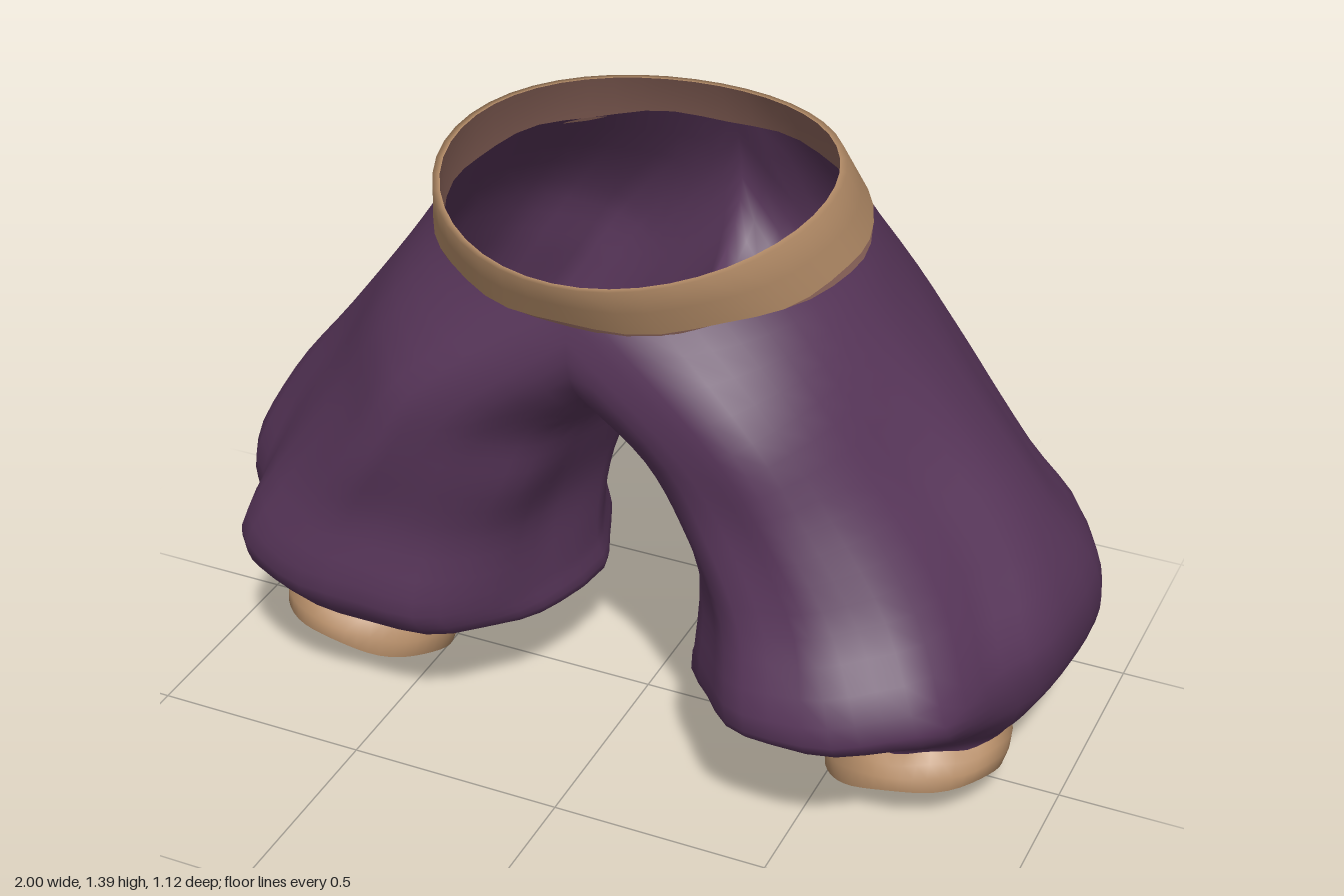
import * as THREE from 'three';
import { mergeGeometries, mergeVertices } from 'three/addons/utils/BufferGeometryUtils.js';

const COLS = 44;

// Closed tube surface: point(row, angle) listed from top to bottom
function loft(point, rows, flip = false) {
  const pos = [], idx = [];
  for (let i = 0; i < rows; i++)
    for (let j = 0; j < COLS; j++) pos.push(...point(i, (j / COLS) * Math.PI * 2));
  for (let i = 0; i < rows - 1; i++)
    for (let j = 0; j < COLS; j++) {
      const a = i * COLS + j, b = i * COLS + (j + 1) % COLS, c = a + COLS, d = b + COLS;
      if (flip) idx.push(a, c, b, b, c, d);
      else idx.push(a, b, c, b, d, c);
    }
  const g = new THREE.BufferGeometry();
  g.setAttribute('position', new THREE.Float32BufferAttribute(pos, 3));
  g.setIndex(idx);
  g.computeVertexNormals();
  return g;
}

// Leg rings: inner x, inner y, outer x, outer y, front z, back z, front lift, fold depth,
// then how far the left leg differs from the mean: inner x, front z, back z
const RINGS = [
  [0.055, 0.81, 0.57, 1.08, 0.465, -0.530, 0, 0.012, 0.02, -0.010, 0.025],
  [0.115, 0.69, 0.725, 0.87, 0.465, -0.540, 0, 0.02, 0.03, -0.010, 0],
  [0.165, 0.54, 0.89, 0.66, 0.475, -0.535, 0, 0.02, 0.03, 0.010, -0.015],
  [0.175, 0.37, 0.99, 0.47, 0.520, -0.535, -0.02, 0.015, 0.03, 0.035, -0.02],
  [0.160, 0.27, 0.99, 0.32, 0.440, -0.530, 0.02, 0.015, 0.02, 0.010, -0.015],
  [0.270, 0.185, 0.93, 0.23, 0.330, -0.380, 0.05, 0.01, 0, 0, 0],
  [0.495, 0.12, 0.875, 0.17, 0.220, -0.155, 0.03, 0, 0, 0, 0],
  [0.505, 0.068, 0.865, 0.130, 0.243, -0.117, 0.042, 0, 0, 0, 0],
];
// Corner cut of each ring (below 1 is boxy, above 1 is cut away):
// outer front, outer back, inner front, inner back; then depth of the outer front fold
const CORNERS = [
  [1.1, 1.1, 0.9, 0.8, 0],
  [1.2, 1.2, 0.85, 0.95, 0.03],
  [1.2, 1.15, 0.85, 1.1, 0.07],
  [0.95, 0.8, 0.85, 1.2, 0.13],
  [1, 0.75, 0.85, 1.2, 0.07],
  [1, 1, 1, 1.1, 0],
  [1, 1, 1, 1, 0],
  [1, 1, 1, 1, 0],
];
const soft = (v, e) => Math.sign(v) * Math.abs(v) ** e;

// Height of the lower edge of the waistband
const waistLow = (s) => 1.25 - 0.04 * s - 0.015 * s * s;

// Top loop of a leg: half of the waist, closed by the crotch seam
function topPoint(t, side) {
  const c = Math.cos(t), s = Math.sin(t), y = waistLow(s) + 0.005;
  if (c > 1e-6) return new THREE.Vector3(0.01 + side * 0.46 * c, y, 0.425 * s);
  const k = Math.abs(c), full = s < 0 ? 0.6 : 0.25;
  return new THREE.Vector3(0.015, y - (y - 0.87) * k, 0.425 * s * (1 + full * k));
}

function ringPoint(r, i, t, side) {
  const [xi, yi, xo, yo, front, back, lift, fold, dx, dFront, dBack] = r;
  const c = Math.cos(t), s = Math.sin(t), zf = front + side * dFront, zb = back + side * dBack;
  const e = CORNERS[i][(c < 0 ? 2 : 0) + (s < 0 ? 1 : 0)];
  // Shallow vertical folds and one deep fold at the outer front
  const dent = CORNERS[i][4] * Math.exp(-(((t - 0.5) / 0.28) ** 2));
  const f = 1 + fold * (Math.sin(6 * t + 0.8 * i + side) + 0.6 * Math.sin(11 * t - 0.5 * i)) - dent;
  const u = soft(c, e) * f, v = soft(s, e) * f, inner = xi + side * dx;
  return new THREE.Vector3(
    side * ((inner + xo) / 2 + u * (xo - inner) / 2),
    (yi + yo) / 2 + c * (yo - yi) / 2 + s * lift,
    (zf + zb) / 2 + v * (zf - zb) / 2);
}

function legGeometry(side) {
  const rows = 33, cache = new Map();
  const column = (t) => {
    if (!cache.has(t)) cache.set(t, new THREE.CatmullRomCurve3(
      [topPoint(t, side), ...RINGS.map((r, i) => ringPoint(r, i, t, side))]));
    return cache.get(t);
  };
  return loft((i, t) => column(t).getPoint(i / (rows - 1)).toArray(), rows, side < 0);
}

// Waistband, h = 1 at the top edge and 0 at the bottom
function waistPoint(t, h, scale) {
  const c = Math.cos(t), s = Math.sin(t);
  const low = waistLow(s) + 0.005 * Math.sin(9 * t);
  const high = 1.388 - 0.037 * s - 0.038 * s * s;
  return [0.01 + c * scale * (0.472 - 0.042 * h), low + (high - low) * h,
    0.065 * h + s * scale * (0.437 - 0.002 * h)];
}

// Ankle cuff, h = 1 at the top edge and 0 at the opening
function cuffPoint(t, h, scale, side) {
  const c = Math.cos(t), s = Math.sin(t);
  const bulge = scale * (1 + 0.04 * Math.sin(Math.PI * h));
  const low = 0.062 + 0.044 * s + 0.04 * c + 0.004 * Math.sin(5 * t);
  const high = 0.15 + 0.033 * s + 0.026 * c + 0.006 * Math.sin(7 * t);
  return [side * (0.685 + c * bulge * 0.197), low + (high - low) * h,
    0.085 - 0.055 * h + s * bulge * (0.187 + 0.015 * h)];
}

export function createModel() {
  const group = new THREE.Group();
  group.name = 'baggyTrousers';
  const material = (name, color) => {
    const m = new THREE.MeshStandardMaterial({ color, side: THREE.DoubleSide });
    m.name = name;
    return m;
  };
  const purple = material('purpleCloth', 0x573559);
  const tan = material('tanTrim', 0xb58d68);
  const lining = material('brownLining', 0x8f675d);
  const add = (name, geometry, mat) => {
    const mesh = new THREE.Mesh(geometry, mat);
    mesh.name = name;
    group.add(mesh);
  };

  // Both legs joined along the crotch seam
  const legs = [1, -1].map((side) => legGeometry(side).deleteAttribute('normal'));
  const cloth = mergeVertices(mergeGeometries(legs), 1e-4);
  cloth.computeVertexNormals();
  add('trouserLegs', cloth, purple);

  // Outer trim rolls over the rim; the lining sits just inside it
  const outer = [[1, 0.965], [1, 1], [0.5, 1], [0, 1]];
  const inner = [[1, 0.965], [0.5, 0.965], [0.05, 0.95]];
  add('waistband', loft((i, t) => waistPoint(t, ...outer[i]), 4), tan);
  add('waistLining', loft((i, t) => waistPoint(t, ...inner[i]), 3, true), lining);

  // Uneven stitched edge peeking out under the waistband
  add('waistSeam', loft((i, t) =>
    waistPoint(t, i ? -0.06 - 0.08 * Math.sin(5 * t + 1) : 0.05, 0.995), 2), lining);

  const cuffOuter = [[1, 0.97], [0.75, 1], [0.4, 1], [0, 1], [0, 0.94]];
  const cuffInner = [[0.45, 0.9], [0.2, 0.92], [0, 0.94]];
  for (const side of [1, -1]) {
    const label = side > 0 ? 'left' : 'right';
    add(label + 'Cuff', loft((i, t) => cuffPoint(t, ...cuffOuter[i], side), 5, side < 0), tan);
    add(label + 'CuffLining', loft((i, t) => cuffPoint(t, ...cuffInner[i], side), 3, side > 0), lining);
  }
  return group;
}
